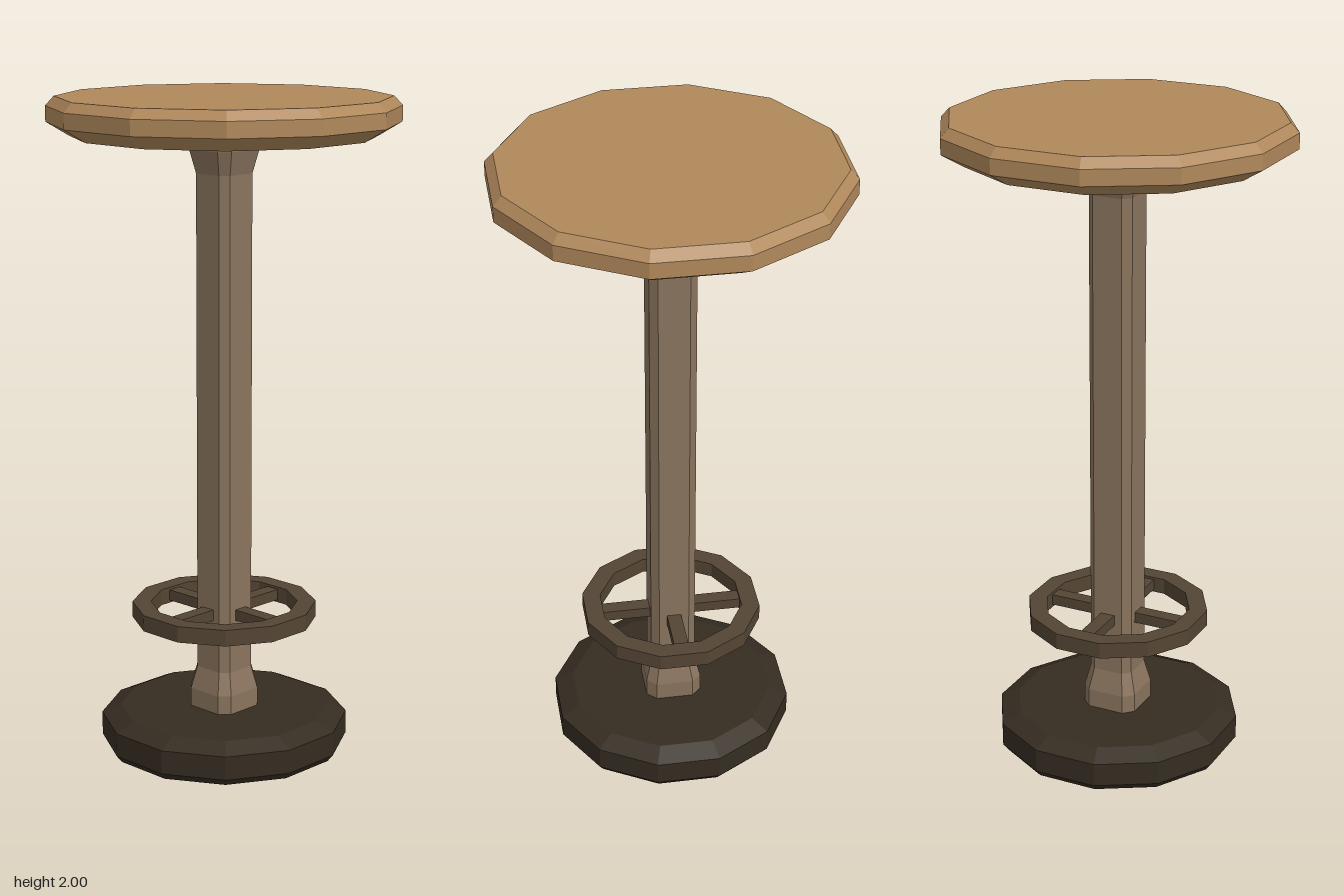
import * as THREE from 'three';

const SIDES = 12;
const APOTHEM = Math.cos(Math.PI / SIDES);

const mat = (name, color) => {
  const m = new THREE.MeshStandardMaterial({ color });
  m.name = name;
  return m;
};

// Give every facet its own normal
function faceted(geometry) {
  const g = geometry.toNonIndexed();
  g.computeVertexNormals();
  return g;
}

// Twelve-sided turned solid; profile is [half width across flats, height], bottom to top
function turned(profile) {
  const points = profile.map(([w, y]) => new THREE.Vector2(w / APOTHEM, y));
  return faceted(new THREE.LatheGeometry(points, SIDES, Math.PI / SIDES));
}

// Square post with chamfered corners; profile is [half width, height]
function chamferedPost(profile, flat) {
  const points = profile.map(([w, y]) => new THREE.Vector2(w, y));
  const g = new THREE.LatheGeometry(points, 8, Math.PI / 8);
  const p = g.attributes.position;
  for (let i = 0; i < p.count; i++) {
    const x = p.getX(i), z = p.getZ(i);
    const w = Math.hypot(x, z);
    const wideX = Math.abs(x) > Math.abs(z);
    p.setX(i, Math.sign(x) * w * (wideX ? 1 : flat));
    p.setZ(i, Math.sign(z) * w * (wideX ? flat : 1));
  }
  return faceted(g);
}

export function createModel() {
  const group = new THREE.Group();
  group.name = 'pedestalTable';
  const topWood = mat('warm wood', 0xb0885b);
  const postWood = mat('grey brown wood', 0x8a745e);
  const ringWood = mat('dark brown', 0x544534);
  const baseWood = mat('blackish brown', 0x352c21);

  const add = (name, geometry, material) => {
    const mesh = new THREE.Mesh(geometry, material);
    mesh.name = name;
    group.add(mesh);
    return mesh;
  };

  // Bevelled top and foot
  add('tableTop', turned([[0, 1.885], [0.44, 1.885], [0.505, 1.925], [0.505, 1.972], [0.48, 2], [0, 2]]), topWood);
  add('base', turned([[0, 0], [0.35, 0], [0.367, 0.022], [0.367, 0.095], [0.31, 0.122], [0, 0.122]]), baseWood);

  // Post flaring at both ends
  add('post', chamferedPost([
    [0.087, 0.115], [0.087, 0.18], [0.07, 0.25],
    [0.07, 1.775], [0.087, 1.845], [0.087, 1.89],
  ], 0.67), postWood);

  // Foot ring with four spokes
  add('footRing', turned([[0.218, 0.405], [0.273, 0.405], [0.273, 0.455], [0.218, 0.455], [0.218, 0.405]]), ringWood);
  for (let i = 0; i < 4; i++) {
    const a = i * Math.PI / 2;
    const spoke = add('spoke' + (i + 1), new THREE.BoxGeometry(0.18, 0.034, 0.045), ringWood);
    spoke.position.set(Math.cos(a) * 0.14, 0.43, -Math.sin(a) * 0.14);
    spoke.rotation.y = a;
  }
  return group;
}
